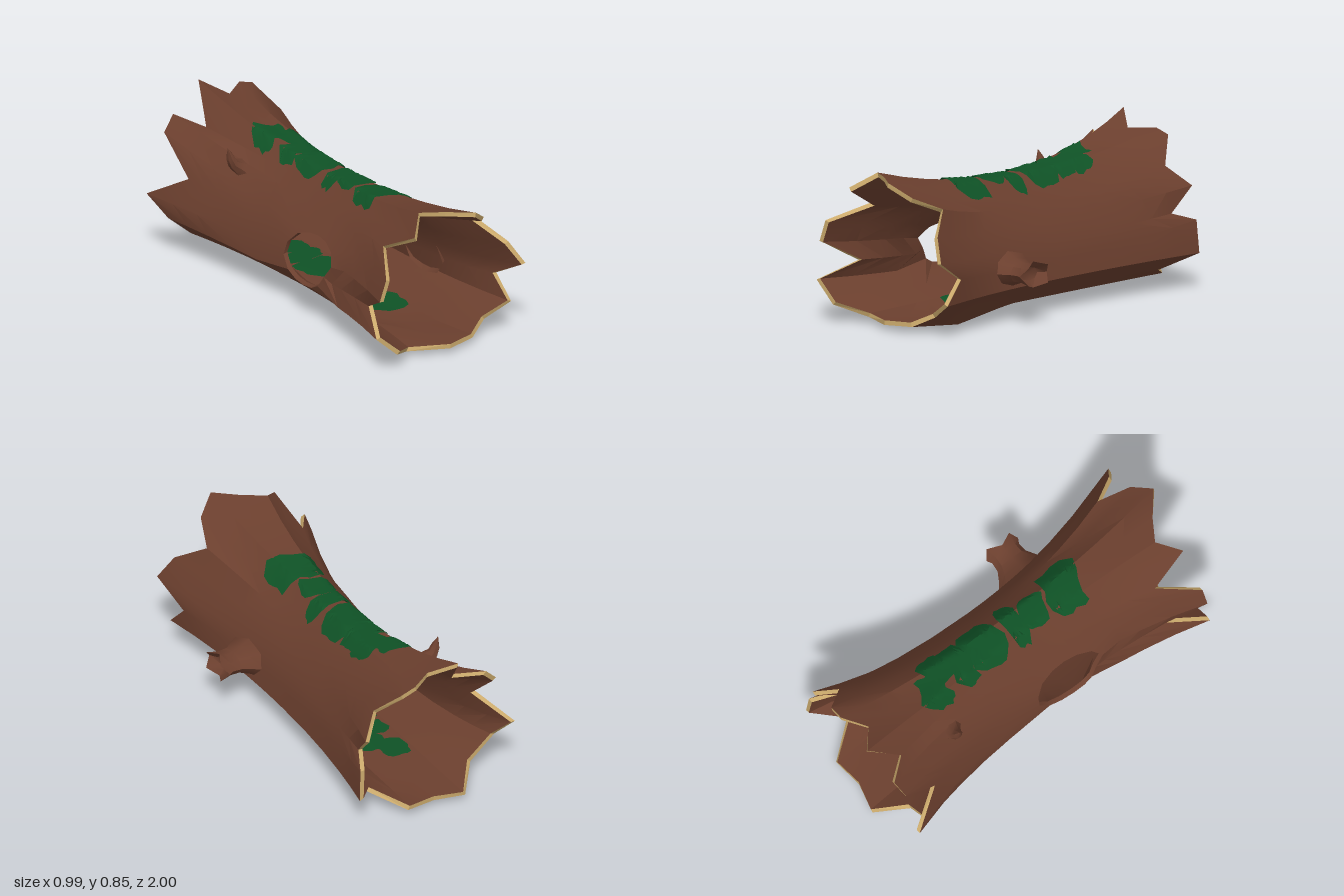
import * as THREE from 'three';
import { toCreasedNormals } from 'three/addons/utils/BufferGeometryUtils.js';

const bark = new THREE.MeshStandardMaterial({ color: 0x6b3f2e, side: THREE.DoubleSide });
bark.name = 'bark brown';
const cutWood = new THREE.MeshStandardMaterial({ color: 0xcbaa6c, side: THREE.DoubleSide });
cutWood.name = 'cut wood tan';
const mossGreen = new THREE.MeshStandardMaterial({ color: 0x0f5226, side: THREE.DoubleSide });
mossGreen.name = 'moss green';

// Lengthwise ridges, clockwise from the top left: [x, y, z] at the splintered ends, [x, y] at the waist
const FRONT = [
  [-.13, .775, .83], [-.02, .775, .9], [.1, .775, 1], [.2, .7, .93], [.26, .63, .77],
  [.36, .52, .92], [.43, .4, .97], [.39, .29, .78], [.4, .17, .89], [.27, .09, .84],
  [.16, .04, .89], [0, .03, .92], [-.2, .03, .82], [-.34, .09, .93], [-.46, .2, .92],
  [-.36, .285, .72], [-.44, .4, .92], [-.4, .51, .92], [-.27, .59, .72], [-.23, .7, .93]];
const WAIST = [
  [-.07, .66], [0, .66], [.05, .66], [.11, .59], [.16, .53],
  [.22, .44], [.27, .35], [.295, .26], [.315, .17], [.24, .11],
  [.16, .05], [0, .05], [-.15, .05], [-.24, .11], [-.33, .18],
  [-.31, .26], [-.28, .36], [-.23, .44], [-.17, .54], [-.12, .6]];
const BACK = [
  [-.14, .845, -1], [-.02, .77, -.9], [.1, .775, -.98], [.18, .75, -.98], [.27, .62, -.86],
  [.37, .52, -.95], [.34, .39, -.83], [.4, .35, -.95], [.41, .18, -.96], [.28, .1, -.8],
  [.14, .04, -.98], [-.02, .03, -.96], [-.18, .03, -1], [-.3, .1, -.85], [-.44, .22, -.85],
  [-.5, .335, -.95], [-.38, .45, -.76], [-.39, .64, -.95], [-.32, .715, -.97], [-.21, .66, -.84]];
const N = FRONT.length;
const ROWS = [-1, -.85, -.7, -.5, -.3, -.06, .05, .16, .27, .38, .5, .62, .8, 1];
const HOLE = { c0: 14, c1: 17, r0: 5, r1: 9 };
const WALL = 0.024;

// Point on ridge i; s runs from -1 (back rim) to 1 (front rim)
function ridgePoint(i, s) {
  const k = ((i % N) + N) % N;
  const end = s >= 0 ? FRONT[k] : BACK[k];
  const f = Math.pow(Math.abs(s), 2.1);
  const p = new THREE.Vector3(
    THREE.MathUtils.lerp(WAIST[k][0], end[0], f),
    THREE.MathUtils.lerp(WAIST[k][1], end[1], f),
    Math.abs(s) * end[2]);
  // low bulge under the front half
  const sag = k === 10 ? 0.047 : k === 11 ? 0.03 : 0;
  p.y = Math.max(0, p.y - sag * Math.max(0, 1 - Math.abs(p.z - 0.55) / 0.38));
  return p;
}

// Surface point between ridges, pushed towards the axis by depth
function surface(c, s, depth = 0) {
  const i = Math.floor(c);
  const p = ridgePoint(i, s).lerp(ridgePoint(i + 1, s), c - i);
  const inward = new THREE.Vector3(-p.x, 0.35 - p.y, 0).normalize();
  return p.addScaledVector(inward, depth);
}

// Grid vertex; those around the knothole are rounded into an ellipse with a raised lip
function logVertex(col, row, depth) {
  let c = col, s = ROWS[row];
  const { c0, c1, r0, r1 } = HOLE;
  if (col >= c0 && col <= c1 && row >= r0 && row <= r1) {
    const u = (col - c0) / (c1 - c0) * 2 - 1, v = (row - r0) / (r1 - r0) * 2 - 1;
    c = 15.55 + 1.35 * u * Math.sqrt(1 - v * v / 2);
    s = 0.17 + 0.23 * v * Math.sqrt(1 - u * u / 2);
    depth -= 0.015;
  }
  return surface(c, s, depth);
}

// Mesh from a grid of points
function gridGeometry(nu, nv, point, { flip = false, skip = () => false, crease = 0.4 } = {}) {
  const pos = [], idx = [];
  for (let v = 0; v <= nv; v++)
    for (let u = 0; u <= nu; u++) pos.push(...point(u, v).toArray());
  for (let v = 0; v < nv; v++)
    for (let u = 0; u < nu; u++) {
      if (skip(u, v)) continue;
      const a = v * (nu + 1) + u, b = a + 1, d = a + nu + 1, e = d + 1;
      if (flip) idx.push(a, b, d, b, e, d);
      else idx.push(a, d, b, b, d, e);
    }
  const g = new THREE.BufferGeometry();
  g.setAttribute('position', new THREE.Float32BufferAttribute(pos, 3));
  g.setIndex(idx);
  return toCreasedNormals(g, crease);
}

// Branch lofted along local y from rings [y, radiusX, radiusZ, offsetX, jag]
function branchGeometry(rings, sides) {
  return gridGeometry(sides, rings.length - 1, (u, v) => {
    const [y, rx, rz, ox = 0, jag = 0] = rings[v];
    const a = (u % sides) / sides * Math.PI * 2;
    return new THREE.Vector3(ox + rx * Math.cos(a), y + (u % 2 ? jag : -jag), rz * Math.sin(a));
  }, { crease: 0.7 });
}

// Ragged moss patch draped on the log
function mossGeometry(c, z, halfC, halfZ, depth, seed) {
  const sides = 18, rings = 5;
  return gridGeometry(sides, rings, (u, v) => {
    const k = u % sides, a = k / sides * Math.PI * 2;
    const cos = Math.cos(a), sin = Math.sin(a);
    const hash = Math.abs(Math.sin((k + 1) * 12.9898 + seed * 78.233) * 43758.5453) % 1;
    const square = Math.pow(cos ** 4 + sin ** 4, -0.25);
    const r = v / rings * square * (0.84 + 0.2 * hash);
    return surface(c + N + cos * r * halfC, (z + sin * r * halfZ) / 0.93, depth);
  }, { crease: 0.6 });
}

export function createModel() {
  const group = new THREE.Group();
  const add = (name, geometry, material) => {
    const m = new THREE.Mesh(geometry, material);
    m.name = name;
    group.add(m);
    return m;
  };

  // Hollow trunk
  const last = ROWS.length - 1;
  const { c0, c1, r0, r1 } = HOLE;
  const skip = (u, v) => u >= c0 && u < c1 && v >= r0 && v < r1;
  add('outerBark', gridGeometry(N, last, (u, v) => logVertex(u, v, 0), { skip }), bark);
  add('innerWall', gridGeometry(N, last, (u, v) => logVertex(u, v, WALL), { skip, flip: true }), bark);

  // Splintered rims
  add('frontRim', gridGeometry(N, 1, (u, v) => logVertex(u, last, v * WALL), { crease: 0.2 }), cutWood);
  add('backRim', gridGeometry(N, 1, (u, v) => logVertex(u, 0, v * WALL), { crease: 0.2, flip: true }), cutWood);

  // Knothole edge
  const loop = [];
  for (let c = c0; c < c1; c++) loop.push([c, r0]);
  for (let r = r0; r < r1; r++) loop.push([c1, r]);
  for (let c = c1; c > c0; c--) loop.push([c, r1]);
  for (let r = r1; r > r0; r--) loop.push([c0, r]);
  add('knotholeEdge', gridGeometry(loop.length, 1, (u, v) =>
    logVertex(...loop[u % loop.length], v * WALL), { flip: true, crease: 0.8 }), bark);

  // Broken hollow branch on the left side
  const stub = add('brokenBranch', branchGeometry([
    [-.02, .1, .16], [.03, .07, .12], [.08, .052, .09], [.13, .052, .085],
    [.175, .066, .1, 0, .018], [.13, .035, .06], [.12, .001, .001]], 8), bark);
  stub.position.set(.3, .26, .32);
  stub.rotation.z = -Math.PI / 2;

  // Small hooked twig near the back
  const twig = add('hookedTwig', branchGeometry([
    [-.05, .07, .09], [0, .04, .05], [.04, .027, .032, -.005],
    [.08, .022, .025, .012], [.12, .001, .001, .04]], 7), bark);
  twig.position.set(-.235, .565, -.54);
  twig.rotation.z = 0.85;

  // Moss patches on the roof and floor: [z, half length, sideways shift, width]
  const patches = [
    [.35, .11, 0, 1], [.15, .08, -.1, .65], [.03, .055, 0, 1], [-.15, .11, 0, 1],
    [-.31, .065, -.05, .95], [-.42, .075, .25, .6], [-.5, .08, -.35, .6]];
  patches.forEach(([z, halfZ, shift, width], i) => {
    const lift = i % 2 * 0.002;
    add('roofMoss', mossGeometry(1.15 + 2.2 * shift, z, 2.2 * width, halfZ, -0.011 - lift, i + 1), mossGreen);
    add('floorMoss', mossGeometry(11 - 0.9 * shift, z, 0.95 * width, halfZ, 0.04 + lift, i + 9), mossGreen);
  });

  return group;
}
